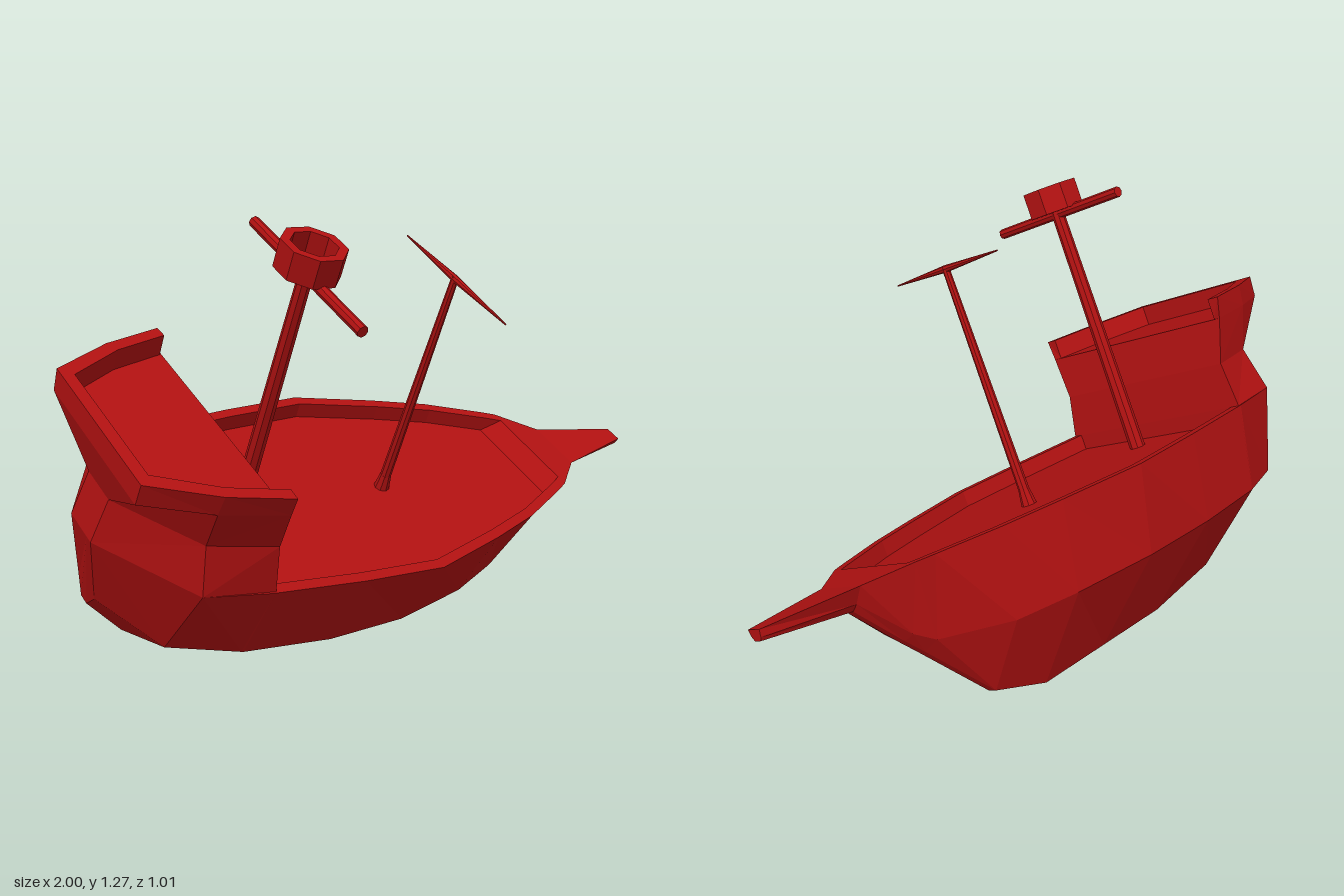
import * as THREE from 'three';

const red = new THREE.MeshStandardMaterial({ color: 0xb01111, flatShading: true });

function add(parent, name, geometry, x = 0, y = 0, z = 0) {
  const mesh = new THREE.Mesh(geometry, red);
  mesh.name = name;
  mesh.position.set(x, y, z);
  parent.add(mesh);
  return mesh;
}

// Skin a row of closed rings, each running counter-clockwise about the direction of travel
function loft(rings) {
  const out = [];
  const tri = (a, b, c) => out.push(...a, ...b, ...c);
  const n = rings[0].length;
  for (let i = 0; i < rings.length - 1; i++) {
    for (let j = 0; j < n; j++) {
      const k = (j + 1) % n;
      const [a, b, c, d] = [rings[i][j], rings[i][k], rings[i + 1][k], rings[i + 1][j]];
      tri(a, b, c);
      tri(a, c, d);
    }
  }
  const first = rings[0], last = rings[rings.length - 1];
  for (let j = 1; j < n - 1; j++) {
    tri(first[0], first[j + 1], first[j]);
    tri(last[0], last[j], last[j + 1]);
  }
  const geometry = new THREE.BufferGeometry();
  geometry.setAttribute('position', new THREE.Float32BufferAttribute(out, 3));
  geometry.computeVertexNormals();
  return geometry;
}

// Complete a half outline with its mirror image across z = 0
const mirrored = (half) => [...half, ...half.map(([x, y, z]) => [x, y, -z]).reverse()];

// Hull cross-section: deck edge, rail, sheer, chine and keel
function hullRing([x, sheerY, sheerW, chineY, chineW, keelY, deckY, rake = 0]) {
  const inner = sheerW - Math.min(0.035, sheerW * 0.4);
  const keelW = Math.min(0.017, chineW * 0.6);
  return mirrored([
    [x, deckY, inner], [x, sheerY, inner], [x, sheerY, sheerW],
    [x + rake, chineY, chineW], [x + rake, keelY, keelW],
  ]);
}

function createHull(ship) {
  const stations = [
    [-0.985, 0, 0.06, -0.22, 0.05, -0.265, 0, 0.055],
    [-0.8, 0, 0.33, -0.268, 0.23, -0.4, 0],
    [-0.605, 0, 0.37, -0.268, 0.31, -0.505, 0],
    [-0.6, 0, 0.37, -0.268, 0.312, -0.505, -0.05],
    [-0.33, 0, 0.4, -0.268, 0.345, -0.541, -0.05],
    [-0.07, 0, 0.416, -0.268, 0.338, -0.541, -0.05],
    [0.19, 0, 0.35, -0.268, 0.285, -0.541, -0.05],
    [0.37, 0, 0.295, -0.268, 0.215, -0.478, -0.05],
    [0.55, 0, 0.215, -0.24, 0.09, -0.275, -0.05],
    [0.6, 0, 0.19, -0.2, 0.065, -0.22, 0],
    [0.72, -0.01, 0.093, -0.06, 0.045, -0.08, -0.01],
    [1, -0.003, 0.028, -0.025, 0.022, -0.035, -0.003],
  ];
  add(ship, 'hull', loft(stations.map(hullRing)));
}

function createSternCastle(ship) {
  // Each layer: height, then (x, half width) at the back, middle and front
  const layers = [
    [-0.05, [-0.95, 0.05], [-0.8, 0.3], [-0.6, 0.34]],
    [0, [-0.985, 0.06], [-0.8, 0.33], [-0.6, 0.365]],
    [0.136, [-0.96, 0.06], [-0.8, 0.287], [-0.612, 0.34]],
    [0.27, [-1, 0.24], [-0.82, 0.325], [-0.635, 0.372]],
  ];
  add(ship, 'sternCastle', loft(layers.map(([y, ...pts]) => mirrored(pts.map(([x, w]) => [x, y, w])))));

  // Low wall round the sides and back of the upper deck, open at the front
  const [low, high] = [0.27, 0.334];
  const side = [
    // bottom x, top x, outer bottom, outer top, inner x, inner half width
    [-0.635, -0.642, 0.372, 0.385, -0.64, 0.347],
    [-0.82, -0.82, 0.325, 0.335, -0.803, 0.3],
    [-1, -1, 0.24, 0.245, -0.965, 0.212],
  ];
  const section = ([xb, xt, wb, wt, xi, wi], s) => [
    [xt, high, s * wt], [xi, high, s * wi], [xi, low, s * wi], [xb, low, s * wb],
  ];
  const rings = [...side.map((p) => section(p, 1)), ...side.slice().reverse().map((p) => section(p, -1))];
  add(ship, 'upperBulwark', loft(rings));
}

function createMasts(ship) {
  // Main mast with its square-ended yard
  add(ship, 'mainMast', new THREE.CylinderGeometry(0.02, 0.025, 0.79, 8), -0.5, 0.345, 0);
  add(ship, 'mainYard', new THREE.CylinderGeometry(0.016, 0.016, 0.535, 8).rotateX(Math.PI / 2), -0.5, 0.73, 0);

  // Open octagonal lookout
  const nest = [[0, 0], [0.09, 0], [0.09, 0.08], [0.064, 0.08], [0.064, 0.02], [0, 0.02]];
  const nestGeometry = new THREE.LatheGeometry(nest.map(([r, y]) => new THREE.Vector2(r, y)), 8);
  add(ship, 'lookout', nestGeometry.rotateY(Math.PI / 8), -0.5, 0.738, 0);

  // Fore mast with a flared foot and a yard tapering to both ends
  add(ship, 'foreMast', new THREE.CylinderGeometry(0.011, 0.017, 0.74, 8), 0.01, 0.32, 0);
  add(ship, 'foreMastFoot', new THREE.CylinderGeometry(0.017, 0.024, 0.05, 8), 0.01, -0.028, 0);
  const yard = [[0.002, -0.237], [0.011, 0], [0.002, 0.237]];
  const yardGeometry = new THREE.LatheGeometry(yard.map(([r, y]) => new THREE.Vector2(r, y)), 8);
  add(ship, 'foreYard', yardGeometry.rotateX(Math.PI / 2), 0.01, 0.684, 0);
}

export function createModel() {
  const model = new THREE.Group();
  model.name = 'sailingShip';
  // The whole ship heels over to one side
  const ship = new THREE.Group();
  ship.name = 'heelingShip';
  ship.rotation.x = THREE.MathUtils.degToRad(27.2);
  ship.position.set(0, 0.489, -0.07);
  model.add(ship);
  createHull(ship);
  createSternCastle(ship);
  createMasts(ship);
  return model;
}
